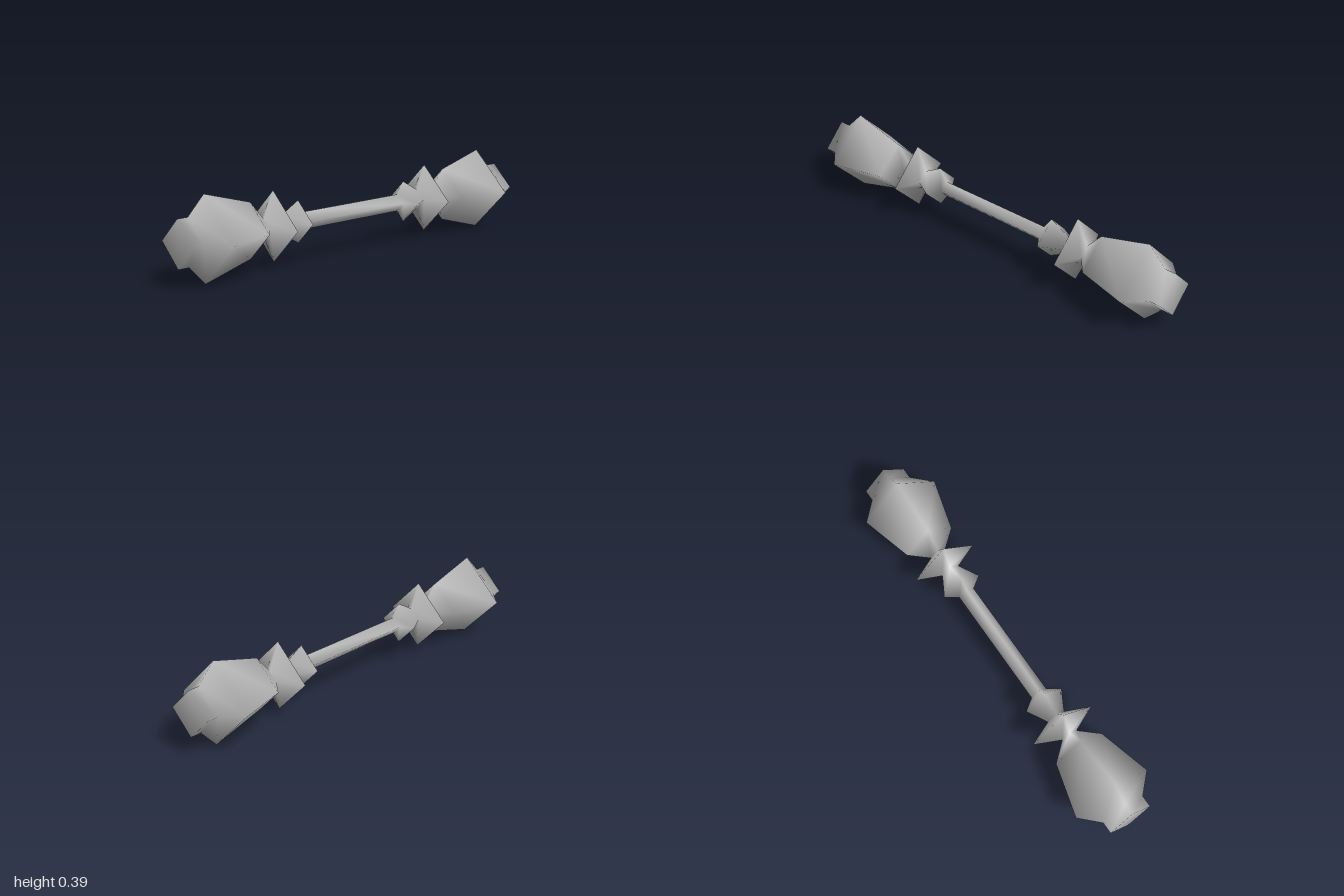
import * as THREE from 'three';

const SIDES = 4;
const CENTRE_Y = 0.194;

// Half profile from the middle outwards: [distance along x, radius]
const HALF = [
  [0.295, 0.04], [0.335, 0.097], [0.43, 0.045], [0.48, 0.16], [0.535, 0.04],
  [0.61, 0.125], [0.86, 0.193], [0.945, 0.107], [1.0, 0.107],
];

export function createModel() {
  const grey = new THREE.MeshStandardMaterial({ color: 0xb8b8b8 });
  grey.name = 'grey';

  // Diamond cross-sections from -x to +x
  const rings = [...HALF.map(([x, r]) => [-x, r]).reverse(), ...HALF];
  const positions = [];
  for (const [x, r] of rings) {
    for (let j = 0; j < SIDES; j++) {
      const a = (j / SIDES) * Math.PI * 2;
      positions.push(x, CENTRE_Y + r * Math.cos(a), r * Math.sin(a));
    }
  }

  // Side faces between two rings
  const band = (from, to) => {
    const index = [];
    for (let i = from; i < to; i++) {
      for (let j = 0; j < SIDES; j++) {
        const k = (j + 1) % SIDES;
        const a = i * SIDES + j, d = i * SIDES + k;
        const b = a + SIDES, c = d + SIDES;
        index.push(a, d, c, a, c, b);
      }
    }
    return index;
  };

  const last = rings.length - 1;
  const n = HALF.length;
  const e = last * SIDES;
  const parts = {
    rightEndCap: [0, 2, 1, 0, 3, 2],
    rightHead: band(0, 4),
    rightCollar: band(4, n - 1),
    shaft: band(n - 1, n),
    leftCollar: band(n, last - 4),
    leftHead: band(last - 4, last),
    leftEndCap: [e, e + 1, e + 2, e, e + 2, e + 3],
  };

  // Smooth normals are computed over the whole body and shared by every part
  const body = new THREE.BufferGeometry();
  body.setAttribute('position', new THREE.Float32BufferAttribute(positions, 3));
  body.setIndex(Object.values(parts).flat());
  body.computeVertexNormals();

  const group = new THREE.Group();
  group.name = 'doubleEndedBaton';
  for (const [name, index] of Object.entries(parts)) {
    const geometry = new THREE.BufferGeometry();
    geometry.setAttribute('position', body.getAttribute('position').clone());
    geometry.setAttribute('normal', body.getAttribute('normal').clone());
    geometry.setIndex(index);
    const mesh = new THREE.Mesh(geometry, grey);
    mesh.name = name;
    group.add(mesh);
  }
  return group;
}
